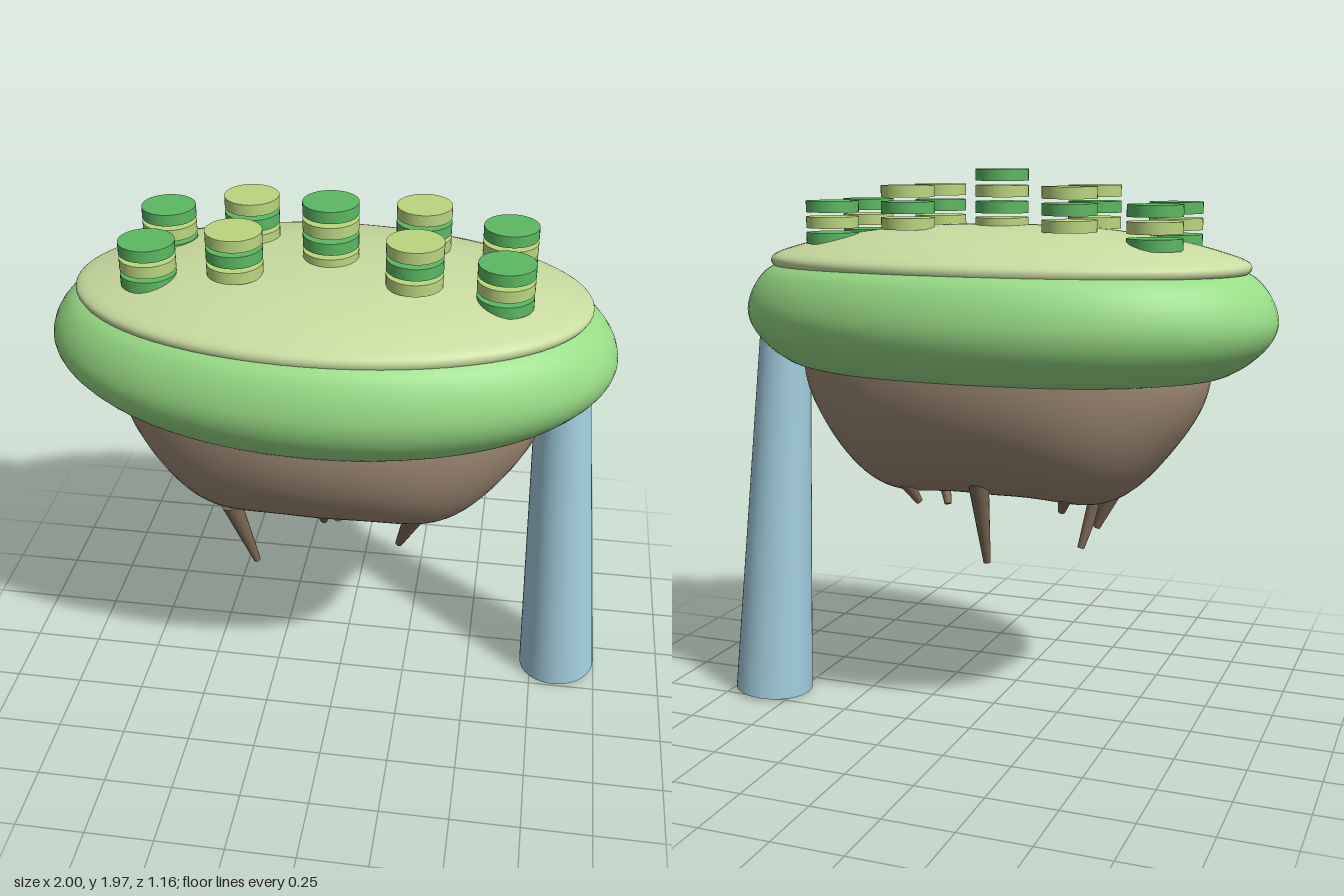
import * as THREE from 'three';

const mat = (name, color) => {
  const m = new THREE.MeshStandardMaterial({ color });
  m.name = name;
  return m;
};

export function createModel() {
  const group = new THREE.Group();
  const rimGreen = mat('rim green', 0x98dc86);
  const meadowGreen = mat('meadow green', 0xc8dba0);
  const rockBrown = mat('rock brown', 0xa08a74);
  const rootBrown = mat('root brown', 0x7d6954);
  const waterBlue = mat('water blue', 0xa3cfe0);
  const discGreen = mat('disc green', 0x5cb863);
  const discLime = mat('disc lime', 0xbad680);
  const CX = -0.03; // island centre

  const add = (name, geo, material, parent = group) => {
    const mesh = new THREE.Mesh(geo, material);
    mesh.name = name;
    parent.add(mesh);
    return mesh;
  };

  // oval slab turned from a rounded edge profile, closed to the axis
  const oval = (name, edge, yBottom, yTop, ratio, material) => {
    const curve = new THREE.SplineCurve(edge.map(p => new THREE.Vector2(...p)));
    const pts = [new THREE.Vector2(0, yBottom), ...curve.getPoints(36), new THREE.Vector2(0, yTop)];
    const mesh = add(name, new THREE.LatheGeometry(pts, 72), material);
    mesh.scale.z = ratio;
    mesh.position.x = CX;
  };

  // bulging rim and domed meadow
  oval('rim', [[0.76, 1.288], [0.81, 1.298], [0.88, 1.34], [0.945, 1.405], [0.97, 1.475],
    [0.95, 1.55], [0.9, 1.615], [0.84, 1.65]], 1.288, 1.65, 0.6, rimGreen);
  oval('meadow', [[0.82, 1.628], [0.86, 1.636], [0.875, 1.657], [0.86, 1.678], [0.8, 1.7],
    [0.65, 1.738], [0.4, 1.775], [0.2, 1.787], [0.02, 1.79]], 1.628, 1.79, 0.583, meadowGreen);

  // rock underside: half ellipsoid with two sagging lobes along x
  const rock = new THREE.SphereGeometry(1, 64, 32, 0, Math.PI * 2, Math.PI / 2, Math.PI / 2);
  const pos = rock.attributes.position;
  for (let i = 0; i < pos.count; i++) {
    const u = Math.min(1, Math.abs(pos.getX(i)));
    const sag = 1 + 0.2 * Math.sin(Math.PI * u ** 1.4) ** 2;
    pos.setXYZ(i, pos.getX(i) * 0.75, pos.getY(i) * 0.475 * sag, pos.getZ(i) * 0.483);
  }
  rock.computeVertexNormals();
  add('rock', rock, rockBrown).position.set(CX, 1.305, 0);

  // tapered round bar between two points
  const bar = (name, from, to, rFrom, rTo, sides, material) => {
    const a = new THREE.Vector3(...from), b = new THREE.Vector3(...to);
    const dir = a.clone().sub(b);
    const mesh = add(name, new THREE.CylinderGeometry(rFrom, rTo, dir.length(), sides), material);
    mesh.position.copy(a).add(b).multiplyScalar(0.5);
    mesh.quaternion.setFromUnitVectors(new THREE.Vector3(0, 1, 0), dir.normalize());
  };

  // hanging roots, leaning inward
  [
    [[-0.36, 0.9, 0.21], [-0.29, 0.605, 0.14]],
    [[-0.03, 0.92, -0.235], [-0.03, 0.605, -0.15]],
    [[0.295, 0.91, 0.2], [0.235, 0.73, 0.13]],
    [[-0.45, 0.88, 0], [-0.39, 0.73, 0]],
    [[0.29, 0.93, -0.2], [0.24, 0.8, -0.13]],
    [[-0.03, 0.93, 0.22], [-0.03, 0.84, 0.18]],
    [[-0.34, 0.92, -0.17], [-0.3, 0.81, -0.13]],
  ].forEach(([a, b]) => bar('root', a, b, 0.037, 0.013, 16, rootBrown));

  // waterfall pouring from under the rim
  bar('waterfall', [0.764, 1.45, -0.127], [0.853, 0.017, -0.145], 0.09, 0.145, 48, waterBlue);

  // stacks of floating discs, listed from the topmost disc down
  const disc = new THREE.CylinderGeometry(0.093, 0.093, 0.04, 40);
  const stack = (x, z, top, count, greenFirst) => {
    const tower = new THREE.Group();
    tower.name = 'discStack';
    tower.position.set(CX + x, top, z);
    for (let i = 0; i < count; i++) {
      const green = (i % 2 === 0) === greenFirst;
      add('disc', disc, green ? discGreen : discLime, tower).position.y = -0.055 * i;
    }
    group.add(tower);
  };
  stack(0, 0, 1.96, 4, true);
  for (const sx of [-1, 1]) for (const sz of [-1, 1]) {
    stack(sx * 0.293, sz * 0.147, 1.905, 3, false);
    stack(sx * 0.585, sz * 0.147, 1.85, 3, true);
  }

  return group;
}
